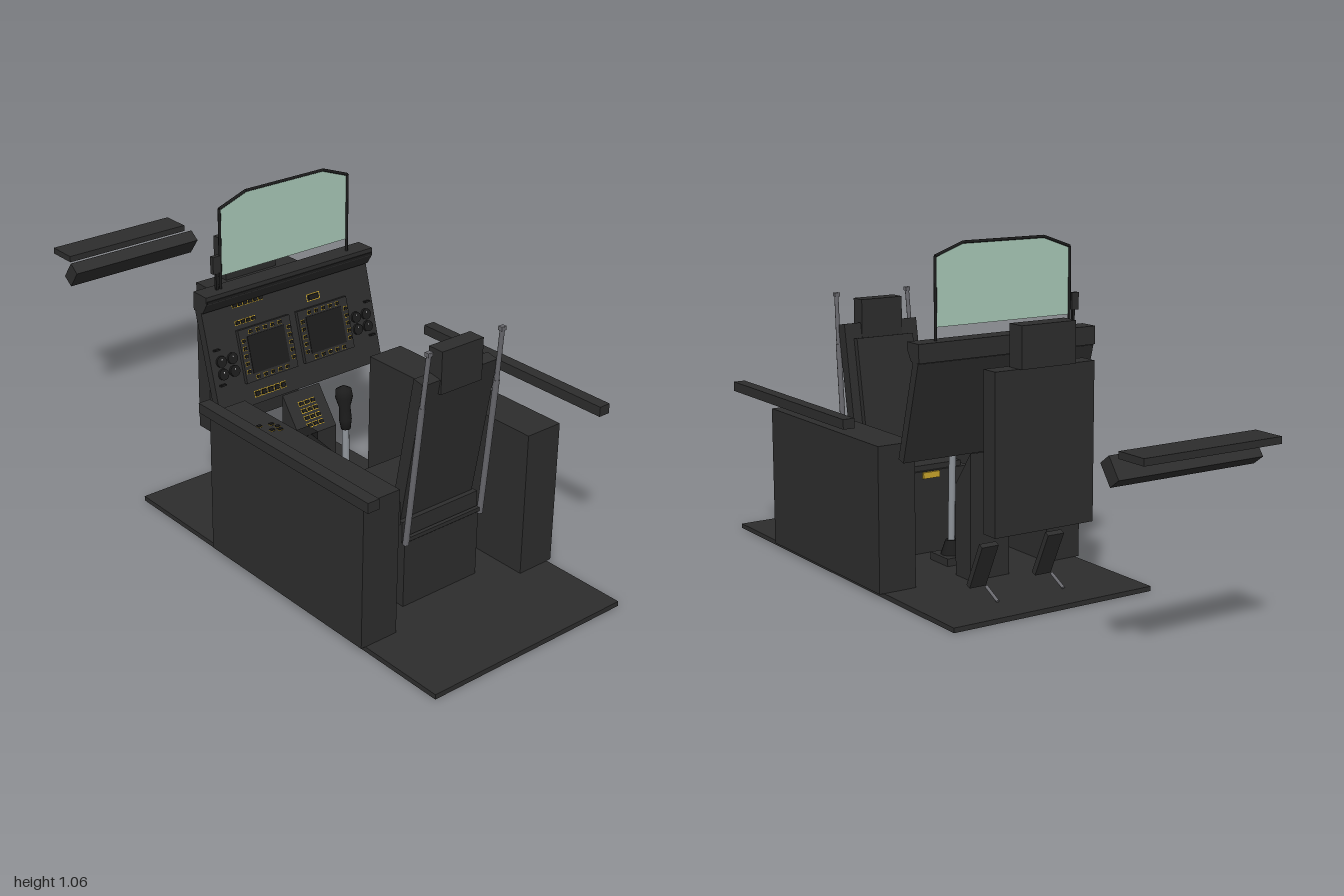
import * as THREE from 'three';

const mat = (name, color, side = THREE.FrontSide) => {
  const m = new THREE.MeshStandardMaterial({ color, side });
  m.name = name;
  return m;
};

export function createModel() {
  const body = mat('charcoal', 0x2d2d2d);
  const dark = mat('nearBlack', 0x1c1c1c);
  const metal = mat('metalGrey', 0x69696e);
  const pale = mat('paleSteel', 0x8f949a);
  const yellow = mat('yellowMarking', 0xc9a52c, THREE.DoubleSide);
  const white = mat('whiteMarking', 0xe0e0e0);
  const glass = mat('greenGlass', 0xa9c9b8, THREE.DoubleSide);

  const model = new THREE.Group();
  model.name = 'cockpit';

  const add = (parent, name, geo, material, x = 0, y = 0, z = 0, rx = 0) => {
    const m = new THREE.Mesh(geo, material);
    m.name = name;
    m.position.set(x, y, z);
    m.rotation.x = rx;
    parent.add(m);
    return m;
  };
  const box = (parent, name, w, h, d, x, y, z, material = body, rx = 0) =>
    add(parent, name, new THREE.BoxGeometry(w, h, d), material, x, y, z, rx);
  const group = (name, x, y, z, rx = 0) => {
    const g = new THREE.Group();
    g.name = name;
    g.position.set(x, y, z);
    g.rotation.x = rx;
    model.add(g);
    return g;
  };
  // Round bar between two points
  const rod = (parent, name, a, b, r0, r1, material, sides = 12) => {
    const p = new THREE.Vector3(...a), q = new THREE.Vector3(...b);
    const m = add(parent, name, new THREE.CylinderGeometry(r1, r0, p.distanceTo(q), sides), material);
    m.position.copy(p).add(q).multiplyScalar(0.5);
    m.quaternion.setFromUnitVectors(new THREE.Vector3(0, 1, 0), q.sub(p).normalize());
    return m;
  };
  // Side profile given as [z, y], extruded across the width
  const sideExtrude = (parent, name, pts, width, material) => {
    const s = new THREE.Shape(pts.map(([z, y]) => new THREE.Vector2(-z, y)));
    const geo = new THREE.ExtrudeGeometry(s, { depth: width, bevelEnabled: false });
    geo.translate(0, 0, -width / 2).rotateY(Math.PI / 2);
    return add(parent, name, geo, material);
  };
  const rectPath = (p, w, h) => {
    p.moveTo(-w / 2, -h / 2); p.lineTo(w / 2, -h / 2);
    p.lineTo(w / 2, h / 2); p.lineTo(-w / 2, h / 2); p.closePath();
    return p;
  };
  // Dark key with a thin coloured outline, facing local +z
  const key = (parent, x, y, z, w = 0.014, h = 0.012) => {
    box(parent, 'key', w * 0.7, h * 0.7, 0.006, x, y, z + 0.003, dark);
    const s = rectPath(new THREE.Shape(), w, h);
    s.holes.push(rectPath(new THREE.Path(), w - 0.005, h - 0.005));
    add(parent, 'keyOutline', new THREE.ShapeGeometry(s), yellow, x, y, z + 0.002);
  };

  // Floor, side consoles, canopy sills, rudder pedals
  box(model, 'floor', 0.7, 0.015, 1.33, 0, 0.0075, 0.335);
  for (const s of [-1, 1]) {
    box(model, 'sideConsole', 0.125, 0.447, 0.672, s * 0.3025, 0.2385, 0.387);
    box(model, 'canopySill', 0.038, 0.03, 0.72, s * 0.426, 0.526, 0.47);
    box(model, 'pedal', 0.058, 0.155, 0.018, s * 0.118, 0.108, -0.125, body, -0.45);
    rod(model, 'pedalArm', [s * 0.118, 0.048, -0.145], [s * 0.118, 0.018, -0.205], 0.005, 0.005, metal);
  }

  // Left console keys
  const consoleKeys = group('consoleKeys', -0.3, 0.462, 0.23, -Math.PI / 2);
  for (const [x, y] of [[-0.03, 0.02], [-0.01, 0.02], [0.025, 0.01], [0.03, -0.012], [0.025, -0.03], [-0.03, 0], [0.005, -0.02]])
    key(consoleKeys, x, y, 0, 0.017, 0.013);

  // Instrument panel
  const panel = group('instrumentPanel', 0, 0.57, -0.03, -0.276);
  box(panel, 'panelBoard', 0.62, 0.315, 0.028, 0, 0, 0);
  const F = 0.014;
  for (const s of [-1, 1]) {
    const cx = s * 0.11, cy = -0.008;
    box(panel, 'displayBezel', 0.19, 0.16, 0.012, cx, cy, F + 0.006);
    box(panel, 'displayScreen', 0.135, 0.112, 0.003, cx, cy, F + 0.0125, dark);
    for (let i = -2; i <= 2; i++) {
      for (const t of [-1, 1]) {
        key(panel, cx + i * 0.027, cy + t * 0.068, F + 0.012);
        key(panel, cx + t * 0.083, cy + i * 0.023, F + 0.012);
      }
    }
    for (const x of [0.235, 0.275]) {
      for (const y of [-0.04, -0.002]) {
        add(panel, 'gauge', new THREE.CylinderGeometry(0.017, 0.017, 0.008, 12), dark, s * x, y, F + 0.004, Math.PI / 2);
        box(panel, 'gaugeMark', 0.003, 0.004, 0.002, s * x, y + 0.006, F + 0.0085, white);
      }
    }
    for (const y of [-0.07, 0.035]) box(panel, 'toggle', 0.018, 0.005, 0.012, s * 0.285, y, F + 0.006, dark);
  }
  for (let i = 0; i < 6; i++) {
    key(panel, -0.195 + i * 0.019, 0.145, F, 0.018, 0.014);
    if (i < 4) key(panel, -0.195 + i * 0.019, 0.093, F, 0.018, 0.014);
    if (i < 5) key(panel, -0.17 + i * 0.024, -0.128, F, 0.021, 0.02);
  }
  key(panel, 0.09, 0.1, F, 0.05, 0.022);

  // Glareshield
  sideExtrude(model, 'glareshield', [[-0.05, 0.72], [-0.03, 0.752], [-0.03, 0.776], [-0.092, 0.776], [-0.092, 0.72]], 0.622, body);
  box(model, 'glareshieldTrim', 0.618, 0.008, 0.004, 0, 0.759, -0.029, dark);

  // Windscreen sight glass with frame
  const outline = [[-0.236, 0.776], [-0.236, 1.018], [-0.142, 1.052], [0.142, 1.052], [0.236, 1.018], [0.236, 0.776]];
  const pane = new THREE.Shape([[-0.234, 0.814], ...outline.slice(1, 5), [0.234, 0.814]].map(p => new THREE.Vector2(...p)));
  add(model, 'sightGlass', new THREE.ShapeGeometry(pane), glass, 0, 0, -0.062);
  for (let i = 0; i < 5; i++)
    rod(model, 'sightFrame', [...outline[i], -0.062], [...outline[i + 1], -0.062], 0.0045, 0.0045, dark, 8);
  box(model, 'sensorPost', 0.008, 0.06, 0.008, -0.25, 0.805, -0.062, dark);
  box(model, 'sensorBox', 0.025, 0.052, 0.014, -0.252, 0.853, -0.064);

  // Centre pedestal with sloping key face
  sideExtrude(model, 'pedestal', [[0.012, 0.015], [0.095, 0.015], [0.095, 0.3], [0.012, 0.41]], 0.14, body);
  const pedFace = group('pedestalKeys', 0, 0.358, 0.053, -0.646);
  for (let r = 0; r < 4; r++)
    for (const x of [-0.022, 0, 0.022]) key(pedFace, x, -0.045 + r * 0.023, 0, 0.019, 0.015);

  // Control stick
  box(model, 'stickBase', 0.09, 0.025, 0.1, 0, 0.027, 0.23);
  add(model, 'stickBoot', new THREE.CylinderGeometry(0.018, 0.035, 0.05, 16), dark, 0, 0.06, 0.23);
  rod(model, 'stickShaft', [0, 0.07, 0.23], [0, 0.37, 0.22], 0.011, 0.011, pale);
  const grip = [[0, 0], [0.014, 0], [0.019, 0.03], [0.017, 0.07], [0.026, 0.1], [0.023, 0.125], [0, 0.137]].map(p => new THREE.Vector2(...p));
  add(model, 'stickGrip', new THREE.LatheGeometry(grip, 14), dark, 0, 0.362, 0.222, -0.1);

  // Lever on the left of the seat
  box(model, 'leverPost', 0.04, 0.29, 0.04, -0.213, 0.16, 0.645);
  box(model, 'leverHousing', 0.054, 0.07, 0.05, -0.213, 0.345, 0.645);
  rod(model, 'leverTube', [-0.213, 0.35, 0.63], [-0.21, 0.415, 0.4], 0.014, 0.014, pale);
  rod(model, 'leverGrip', [-0.21, 0.412, 0.41], [-0.208, 0.425, 0.3], 0.018, 0.02, dark);
  box(model, 'leverHead', 0.062, 0.04, 0.045, -0.207, 0.424, 0.285, dark);

  // Rear seat
  box(model, 'seatBase', 0.28, 0.205, 0.29, 0, 0.117, 0.495);
  box(model, 'seatPan', 0.284, 0.065, 0.28, 0, 0.25, 0.49);
  box(model, 'seatCushion', 0.24, 0.02, 0.21, 0, 0.29, 0.465);
  box(model, 'seatHandle', 0.06, 0.02, 0.01, 0, 0.27, 0.347, yellow);
  const back = group('seatBack', 0, 0.5, 0.632, 0.17);
  box(back, 'backShell', 0.27, 0.45, 0.04, 0, 0, 0);
  box(back, 'backCushion', 0.21, 0.38, 0.02, 0, -0.015, -0.03);
  box(model, 'headrest', 0.15, 0.125, 0.052, 0, 0.738, 0.667);
  for (const s of [-1, 1]) {
    rod(model, 'seatRailLower', [s * 0.141, 0.22, 0.645], [s * 0.137, 0.655, 0.688], 0.009, 0.009, metal, 8);
    rod(model, 'seatRailUpper', [s * 0.137, 0.65, 0.688], [s * 0.133, 0.82, 0.704], 0.007, 0.007, metal, 8);
    box(model, 'railCap', 0.017, 0.012, 0.014, s * 0.133, 0.815, 0.703, metal);
  }
  box(model, 'seatCrossbar', 0.27, 0.012, 0.012, 0, 0.235, 0.645);

  // Forward seat back
  box(model, 'forwardSeatBack', 0.346, 0.48, 0.058, 0, 0.47, -0.243);
  box(model, 'forwardHeadrest', 0.188, 0.125, 0.06, 0, 0.773, -0.258);

  // Nose coaming slats
  box(model, 'noseSlatLower', 0.48, 0.07, 0.043, 0, 0.556, -0.88, body, 0.63);
  box(model, 'noseSlatUpper', 0.455, 0.02, 0.1, 0, 0.601, -0.95);

  return model;
}
